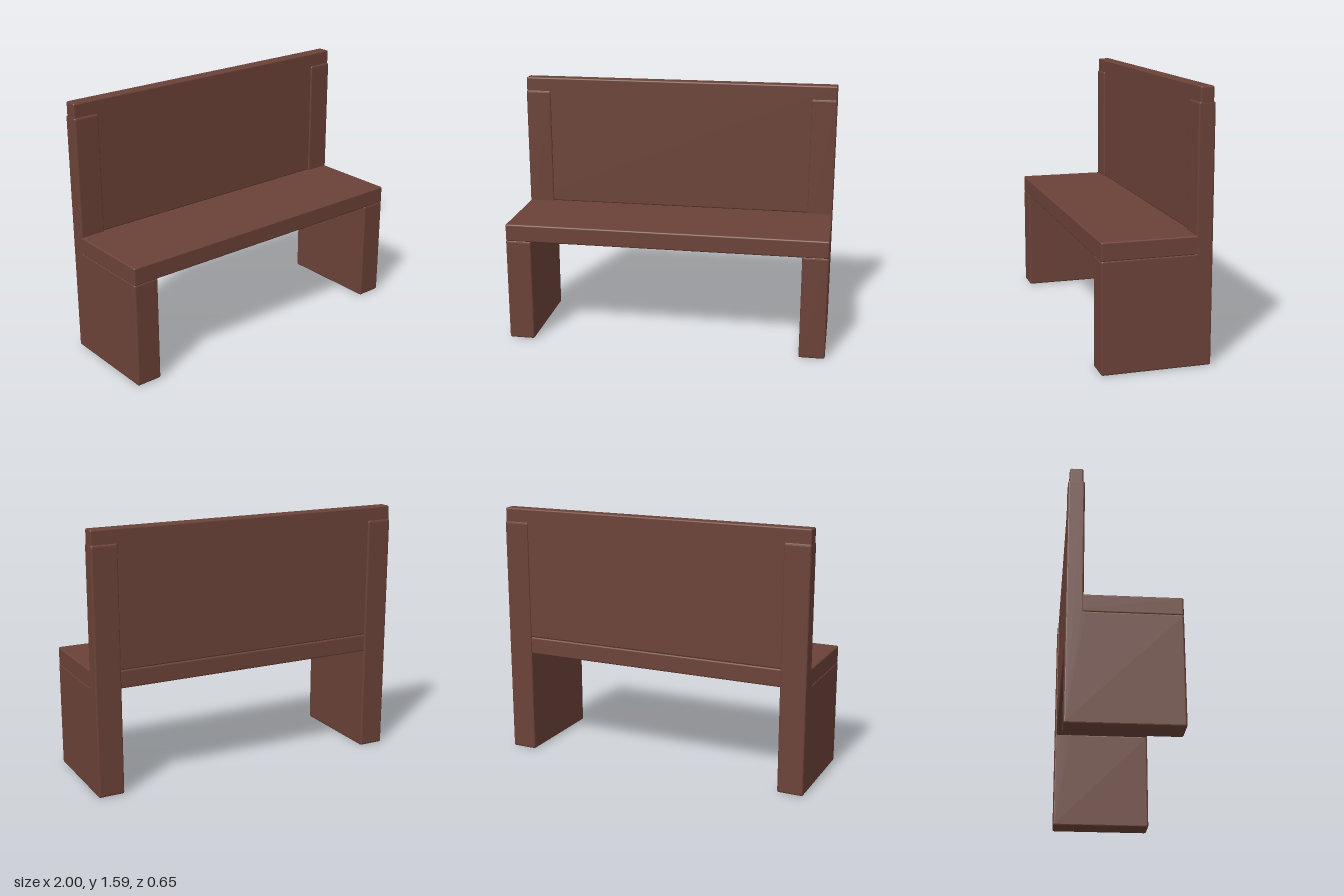
import * as THREE from 'three';
import { RoundedBoxGeometry } from 'three/addons/geometries/RoundedBoxGeometry.js';

const BEVEL = 0.01;

// Closed outline with softly rounded corners
function roundedOutline(points, r) {
  const pts = points.map(([x, y]) => new THREE.Vector2(x, y));
  const shape = new THREE.Shape();
  pts.forEach((p, i) => {
    const prev = pts[(i + pts.length - 1) % pts.length];
    const next = pts[(i + 1) % pts.length];
    const a = prev.clone().sub(p).setLength(r).add(p);
    const b = next.clone().sub(p).setLength(r).add(p);
    if (i === 0) shape.moveTo(a.x, a.y);
    else shape.lineTo(a.x, a.y);
    shape.quadraticCurveTo(p.x, p.y, b.x, b.y);
  });
  shape.closePath();
  return shape;
}

export function createModel() {
  const group = new THREE.Group();
  group.name = 'bench';
  const wood = new THREE.MeshStandardMaterial({ color: 0x6b4238 });

  function add(name, geometry, x, y, z) {
    const mesh = new THREE.Mesh(geometry, wood);
    mesh.name = name;
    mesh.position.set(x, y, z);
    group.add(mesh);
  }

  // L-shaped end panels: leg slab with the back post rising behind it
  const width = 0.16;
  const outline = roundedOutline([
    [-0.323, 0], [0.323, 0], [0.323, 0.655],
    [-0.225, 0.655], [-0.225, 1.5], [-0.323, 1.5],
  ], 0.014);
  const end = new THREE.ExtrudeGeometry(outline, {
    depth: width - 2 * BEVEL, curveSegments: 3,
    bevelEnabled: true, bevelSize: BEVEL, bevelThickness: BEVEL,
    bevelOffset: -BEVEL, bevelSegments: 3,
  });
  end.translate(0, 0, -(width / 2 - BEVEL));
  end.rotateY(-Math.PI / 2); // outline x becomes depth z
  add('leftEndPanel', end, 0.92, 0, 0);
  add('rightEndPanel', end, -0.92, 0, 0);

  // Seat board, running back to the rear of the backrest
  add('seat', new RoundedBoxGeometry(1.998, 0.11, 0.638, 3, BEVEL), 0, 0.705, 0.004);

  // Backrest board, thinner than the posts and standing above them
  add('backrest', new RoundedBoxGeometry(1.998, 0.825, 0.08, 3, BEVEL), 0, 1.1725, -0.274);

  return group;
}
